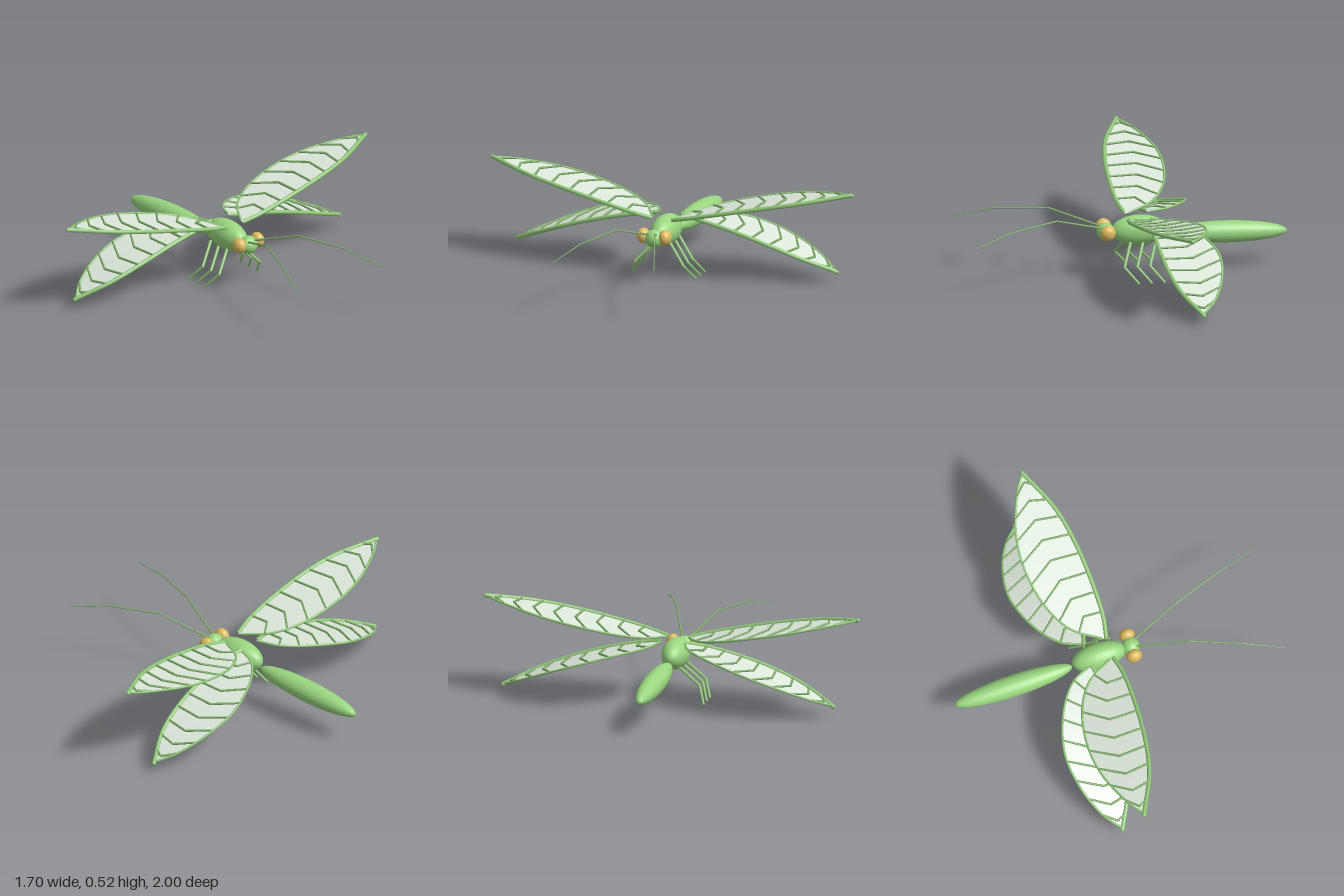
import * as THREE from 'three';

const mat = (name, color, side = THREE.FrontSide) => {
  const m = new THREE.MeshStandardMaterial({ color, side });
  m.name = name;
  return m;
};
const V = (x, y, z) => new THREE.Vector3(x, y, z);

function add(parent, name, geometry, material) {
  const mesh = new THREE.Mesh(geometry, material);
  mesh.name = name;
  parent.add(mesh);
  return mesh;
}

function ellipsoid(parent, name, material, pos, radii) {
  const m = add(parent, name, new THREE.SphereGeometry(1, 32, 20), material);
  m.position.set(...pos);
  m.scale.set(...radii);
  return m;
}

// Straight tapered rods joined along a list of points
function rods(parent, name, points, radii, material) {
  const group = new THREE.Group();
  group.name = name;
  for (let i = 0; i < points.length - 1; i++) {
    const a = points[i], b = points[i + 1], dir = b.clone().sub(a);
    const rod = add(group, name + 'Segment',
      new THREE.CylinderGeometry(radii[i + 1], radii[i], dir.length(), 8), material);
    rod.position.copy(a).add(b).multiplyScalar(0.5);
    rod.quaternion.setFromUnitVectors(V(0, 1, 0), dir.normalize());
  }
  parent.add(group);
}

// Outlines are [x, z]; height(z) bends the whole wing
const foreWing = {
  name: 'foreWing', veins: 8,
  lead: [[-0.01, 0.055], [0.008, 0.15], [0.012, 0.28], [-0.005, 0.54], [-0.05, 0.76], [-0.155, 0.99]],
  trail: [[-0.03, 0.06], [-0.17, 0.15], [-0.26, 0.3], [-0.302, 0.52], [-0.285, 0.7], [-0.228, 0.86], [-0.19, 0.935], [-0.155, 0.98]],
  height: z => 0.3 + 0.26 * z - 0.053 * z * z,
};
const hindWing = {
  name: 'hindWing', veins: 8,
  lead: [[-0.13, 0.06], [-0.11, 0.15], [-0.105, 0.32], [-0.115, 0.54], [-0.15, 0.71], [-0.235, 0.878]],
  trail: [[-0.14, 0.065], [-0.24, 0.11], [-0.335, 0.23], [-0.405, 0.45], [-0.378, 0.64], [-0.315, 0.78], [-0.265, 0.84], [-0.235, 0.87]],
  height: z => 0.322 - 0.1 * z - 0.227 * z * z,
};

function buildWing(spec, side, mats) {
  const wing = new THREE.Group();
  wing.name = (side > 0 ? 'left ' : 'right ') + spec.name;
  const curve = pts => new THREE.CatmullRomCurve3(pts.map(([x, z]) => V(x, 0, z)));
  const lead = curve(spec.lead), trail = curve(spec.trail);
  const lift = (p, up = 0) => V(p.x, spec.height(p.z) + up, p.z * side);
  const at = (t, u) => lead.getPointAt(t).lerp(trail.getPointAt(t), u);

  // Membrane lofted between the two edges
  const nt = 28, nu = 6, pos = [], index = [];
  for (let i = 0; i <= nt; i++) {
    for (let j = 0; j <= nu; j++) pos.push(...lift(at(i / nt, j / nu)).toArray());
  }
  for (let i = 0; i < nt; i++) {
    for (let j = 0; j < nu; j++) {
      const a = i * (nu + 1) + j, b = a + nu + 1;
      if (side > 0) index.push(a, a + 1, b, b, a + 1, b + 1);
      else index.push(a, b, a + 1, b, b + 1, a + 1);
    }
  }
  const geo = new THREE.BufferGeometry();
  geo.setAttribute('position', new THREE.Float32BufferAttribute(pos, 3));
  geo.setIndex(index);
  geo.computeVertexNormals();
  add(wing, 'membrane', geo, mats.membrane);

  // Thick front rib and fine rear rim
  for (const [name, edge, r] of [['frontRib', lead, 0.011], ['rearRim', trail, 0.006]]) {
    const path = new THREE.CatmullRomCurve3(edge.getSpacedPoints(28).map(p => lift(p, 0.001)));
    add(wing, name, new THREE.TubeGeometry(path, 56, r, 8), mats.limb);
  }
  ellipsoid(wing, 'ribTip', mats.limb, lift(lead.getPoint(1)).toArray(), [0.011, 0.011, 0.011]);

  // Bent cross veins pointing to the tip
  for (let i = 0; i < spec.veins; i++) {
    const t = 0.14 + 0.77 * i / (spec.veins - 1);
    const mid = at(Math.min(t + 0.035, 0.96), 0.52);
    rods(wing, 'vein', [lift(at(t, 0), 0.005), lift(mid, 0.005), lift(at(t - 0.025, 1), 0.004)],
      [0.006, 0.006, 0.005], mats.vein);
  }
  return wing;
}

export function createModel() {
  const mats = {
    body: mat('leaf green', 0x9ad680),
    limb: mat('stem green', 0x92c97a),
    vein: mat('vein green', 0x80ad6a),
    membrane: mat('pale membrane', 0xdde7db, THREE.DoubleSide),
    eye: mat('gold', 0xdcba60),
  };
  const model = new THREE.Group();
  model.name = 'lacewing';

  // Body
  ellipsoid(model, 'abdomen', mats.body, [-0.533, 0.2, 0], [0.32, 0.057, 0.057]).rotation.z = 0.045;
  ellipsoid(model, 'thorax', mats.body, [-0.07, 0.242, 0], [0.145, 0.079, 0.07]);
  ellipsoid(model, 'head', mats.body, [0.103, 0.242, 0], [0.047, 0.047, 0.05]);

  for (const s of [1, -1]) {
    ellipsoid(model, 'eye', mats.eye, [0.103, 0.253, 0.06 * s], [0.041, 0.041, 0.033]);

    // Long jointed antennae
    rods(model, 'antenna',
      [V(0.125, 0.268, 0.018 * s), V(0.382, 0.355, 0.108 * s), V(0.645, 0.341, 0.205 * s), V(0.85, 0.289, 0.28 * s)],
      [0.0055, 0.0045, 0.0035, 0.002], mats.vein);

    // Three bent legs on each side
    for (const x of [0.03, -0.037, -0.104]) {
      rods(model, 'leg',
        [V(x - 0.05, 0.19, 0.04 * s), V(x, 0.086, 0.134 * s), V(x - 0.07, 0.004, 0.174 * s)],
        [0.008, 0.007, 0.006], mats.limb);
      ellipsoid(model, 'knee', mats.limb, [x, 0.086, 0.134 * s], [0.007, 0.007, 0.007]);
    }

    model.add(buildWing(foreWing, s, mats), buildWing(hindWing, s, mats));
  }
  return model;
}
